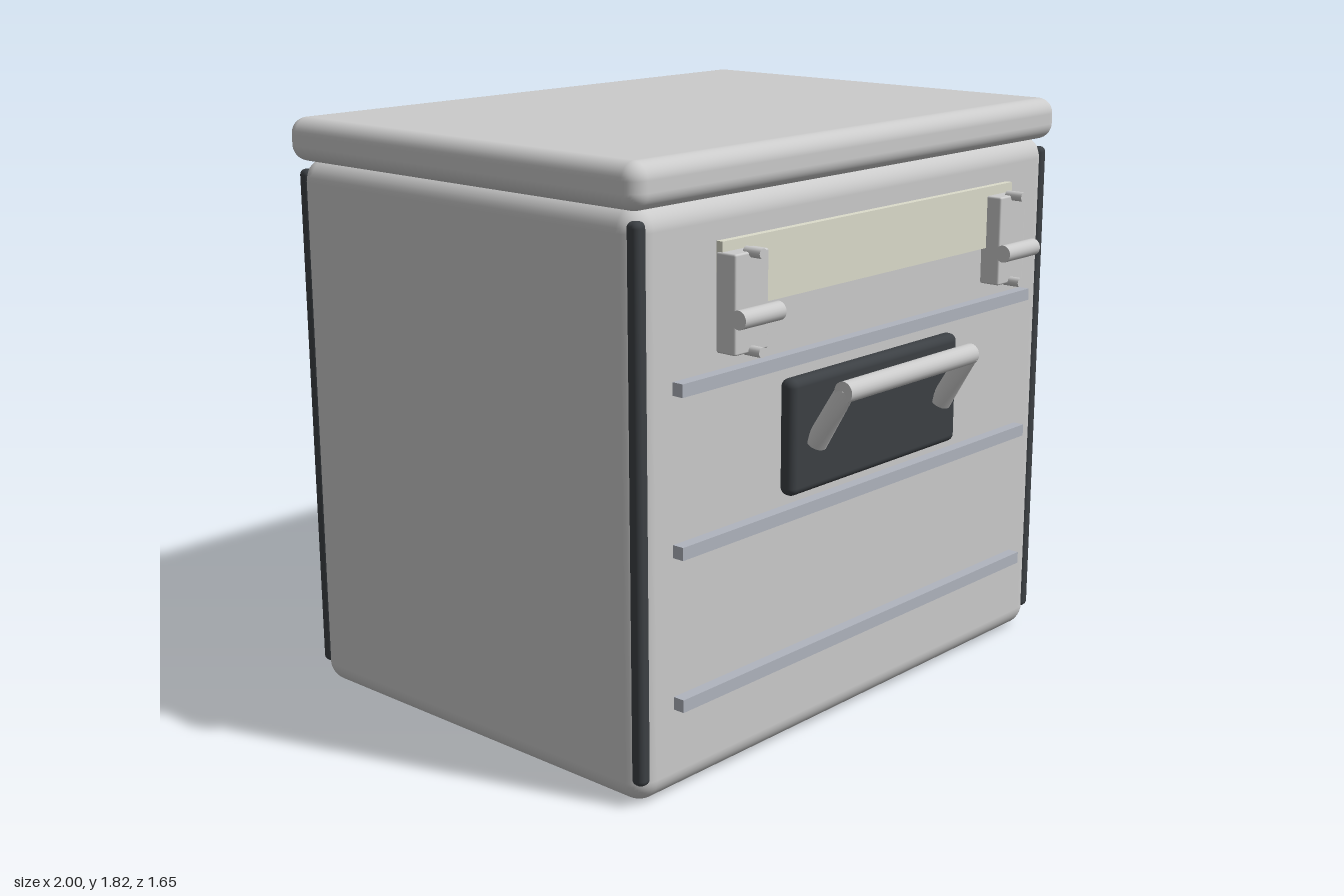
import * as THREE from 'three';
import { RoundedBoxGeometry } from 'three/addons/geometries/RoundedBoxGeometry.js';

const material = (color) => new THREE.MeshStandardMaterial({ color });
const grey = material(0xcccccc);
const dark = material(0x3c4044);
const railGrey = material(0xb0b4be);
const cream = material(0xdcdccb);

export function createModel() {
  const root = new THREE.Group();

  function add(parent, name, geometry, mat, x, y, z) {
    const mesh = new THREE.Mesh(geometry, mat);
    mesh.name = name;
    mesh.position.set(x, y, z);
    parent.add(mesh);
    return mesh;
  }
  const rounded = (w, h, d, r, segments = 5) => new RoundedBoxGeometry(w, h, d, segments, r);

  // Cabinet body and overhanging lid
  add(root, 'body', rounded(1.96, 1.7, 1.425, 0.07), grey, 0, 0.85, -0.0925);
  add(root, 'lid', rounded(2, 0.133, 1.465, 0.05), grey, 0, 1.757, -0.0925);

  // Dark protective strip on each upright corner
  for (const x of [-0.953, 0.953]) {
    for (const z of [-0.783, 0.598]) {
      add(root, 'cornerStrip', rounded(0.045, 1.6, 0.045, 0.018, 3), dark, x, 0.865, z);
    }
  }

  // Horizontal rails across the front
  for (const y of [0.282, 0.732, 1.195]) {
    add(root, 'frontRail', new THREE.BoxGeometry(1.68, 0.038, 0.045), railGrey, 0, y, 0.635);
  }

  // Label plate between the latches
  add(root, 'labelPlate', new THREE.BoxGeometry(1.39, 0.194, 0.022), cream, 0, 1.487, 0.661);

  // Latches: block, two pins and a horizontal roller
  for (const side of [-1, 1]) {
    const latch = new THREE.Group();
    latch.name = 'latch';
    latch.position.set(side * 0.63, 0, 0);
    root.add(latch);
    add(latch, 'latchBlock', rounded(0.14, 0.28, 0.07, 0.006, 2), grey, 0, 1.415, 0.687);
    for (const y of [1.28, 1.553]) {
      const pin = new THREE.CylinderGeometry(0.015, 0.015, 0.06, 16);
      add(latch, 'latchPin', pin, grey, 0, y, 0.73).rotation.x = Math.PI / 2;
    }
    const roller = new THREE.CylinderGeometry(0.027, 0.027, 0.17, 24);
    add(latch, 'latchRoller', roller, grey, 0, 1.382, 0.746).rotation.z = Math.PI / 2;
  }

  // Handle: dark backing plate, grip bar and two tilted arms
  const handle = new THREE.Group();
  handle.name = 'handle';
  root.add(handle);
  add(handle, 'handleBacking', rounded(0.815, 0.35, 0.056, 0.025), dark, 0, 0.969, 0.658);
  const grip = new THREE.CylinderGeometry(0.032, 0.032, 0.63, 24);
  add(handle, 'handleGrip', grip, grey, 0, 1.112, 0.794).rotation.z = Math.PI / 2;

  const top = new THREE.Vector3(0, 1.112, 0.794);
  const bottom = new THREE.Vector3(0, 0.943, 0.692);
  const along = top.clone().sub(bottom);
  for (const side of [-1, 1]) {
    // Each arm is round at the plate and flattens to a thin wedge at the grip
    const arm = new THREE.CylinderGeometry(0.033, 0.033, along.length(), 20, 4);
    const p = arm.attributes.position;
    for (let i = 0; i < p.count; i++) {
      const t = p.getY(i) / along.length() + 0.5;
      p.setX(i, p.getX(i) * THREE.MathUtils.lerp(1.05, 0.25, t));
    }
    arm.computeVertexNormals();
    const mid = top.clone().add(bottom).multiplyScalar(0.5);
    const mesh = add(handle, 'handleArm', arm, grey, side * 0.307, mid.y, mid.z);
    mesh.rotation.x = Math.atan2(along.z, along.y);
  }

  return root;
}
